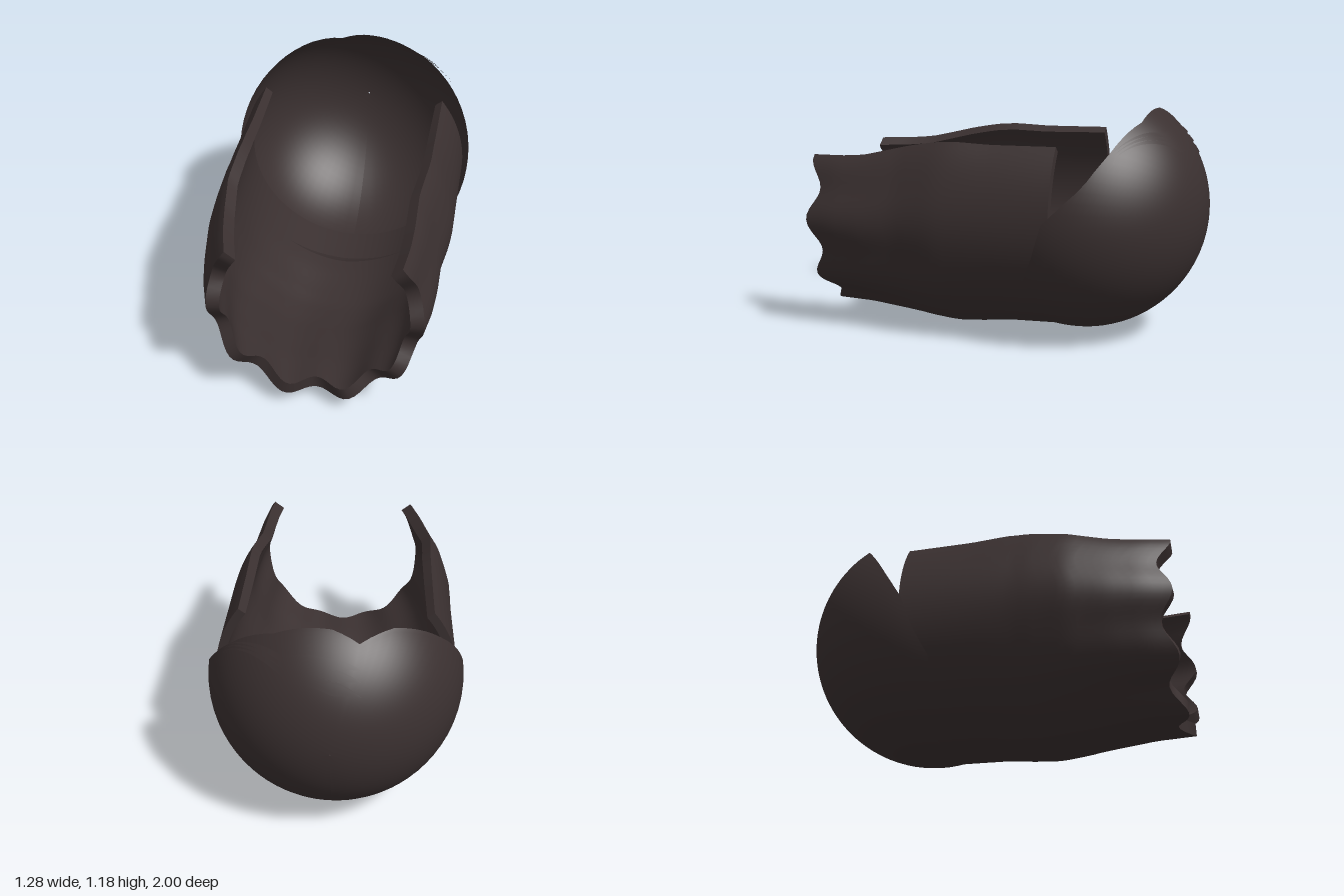
import * as THREE from 'three';

const rad = THREE.MathUtils.degToRad;

// Piecewise lookup through [key, value] pairs
function lookup(keys, t) {
  for (let i = 1; i < keys.length; i++) {
    const [a, va] = keys[i - 1], [b, vb] = keys[i];
    if (t <= b) return va + (vb - va) * Math.max(0, (t - a) / (b - a));
  }
  return keys[keys.length - 1][1];
}

// Smooth grid surface from f(u, v) -> [x, y, z]
function surface(nu, nv, f) {
  const pos = [], index = [];
  for (let j = 0; j <= nv; j++)
    for (let i = 0; i <= nu; i++) pos.push(...f(i / nu, j / nv));
  for (let j = 0; j < nv; j++)
    for (let i = 0; i < nu; i++) {
      const a = j * (nu + 1) + i, b = a + 1, c = a + nu + 1, d = c + 1;
      index.push(a, b, d, a, d, c);
    }
  const g = new THREE.BufferGeometry();
  g.setAttribute('position', new THREE.Float32BufferAttribute(pos, 3));
  g.setIndex(index);
  g.computeVertexNormals();
  return g;
}

export function createModel() {
  const group = new THREE.Group();
  const hair = new THREE.MeshStandardMaterial({ color: 0x3a3030, side: THREE.DoubleSide });
  hair.name = 'dark brown hair';
  const add = (name, geometry, parent = group) => {
    const m = new THREE.Mesh(geometry, hair);
    m.name = name;
    parent.add(m);
  };

  // Crown: sphere shell from the back pole to an uneven hairline
  const R = 0.64, CY = 0.67, CZ = -0.36;
  const hairline = [[-90, 122], [-45, 112], [-15, 99], [0, 94], [17, 77], [33, 68], [60, 57],
    [90, 53.6], [105, 49], [120, 61], [146, 74], [165, 85], [180, 94], [195, 99], [225, 112], [270, 122]];
  add('crown', surface(72, 28, (u, v) => {
    const p = -90 + 360 * u, phi = rad(p);
    const th = 0.006 + (rad(lookup(hairline, p)) - 0.006) * v;
    const r = R * Math.sin(th);
    return [-r * Math.cos(phi) * -1, CY + r * Math.sin(phi), CZ - R * Math.cos(th)];
  }).scale(1, 1, 1));

  // Long hair: thick open trough with a scalloped front end
  const centreX = [[-0.34, 0], [0.25, 0], [0.5, -0.02], [0.7, -0.005], [1, 0.02]];
  const bottomY = [[-0.34, 0.04], [0, 0.03], [0.15, 0.013], [0.3, 0.002], [0.45, 0.015], [0.6, 0.04], [0.8, 0.07], [1, 0.08]];
  const centreY = [[-0.34, 0.65], [0.2, 0.64], [0.4, 0.625], [0.7, 0.6], [1, 0.6]];
  const halfX = [[-0.34, 0.61], [0.3, 0.6], [0.5, 0.585], [0.7, 0.565], [0.85, 0.54], [1, 0.5]];
  const SPAN = 128;
  function trough(u, v, depth) {
    const a = rad(SPAN * (2 * u - 1));
    const wave = Math.cos(10 * a);
    const z = -0.34 + v * (1.305 - 0.035 * wave);
    const t = depth * (0.045 + 0.02 * v);
    const cy = lookup(centreY, z);
    const ripple = 0.012 * wave * v * v;
    const rx = lookup(halfX, z) - t - ripple;
    const ry = cy - lookup(bottomY, z) - t - ripple;
    return [lookup(centreX, z) + rx * Math.sin(a), cy - ry * Math.cos(a), z];
  }
  const length = new THREE.Group();
  length.name = 'longHair';
  group.add(length);
  const NA = 80, NZ = 30;
  add('outerHair', surface(NA, NZ, (u, v) => trough(1 - u, v, 0)), length);
  add('innerHair', surface(NA, NZ, (u, v) => trough(u, v, 1)), length);
  add('frontTips', surface(NA, 1, (u, v) => trough(1 - u, 1, v)), length);
  add('backRim', surface(NA, 1, (u, v) => trough(u, 0, v)), length);
  add('rightEdge', surface(1, NZ, (u, v) => trough(0, v, u)), length);
  add('leftEdge', surface(1, NZ, (u, v) => trough(1, v, 1 - u)), length);

  // Swept locks lying over the crown, pointed at both ends
  const sweep = [[-0.15, -0.895], [0, -0.89], [0.2, -0.85], [0.38, -0.72], [0.53, -0.61]];
  const locks = new THREE.Group();
  locks.name = 'sweptLocks';
  group.add(locks);
  for (let k = -1; k <= 1; k++) {
    add('lock', surface(4, 24, (u, v) => {
      const x0 = -0.14 + (0.66 - 0.03 * k) * v;
      const taper = Math.min(1, v / 0.18, (1 - v) / 0.3);
      const off = k * 0.032 + (u - 0.5) * 0.036 * taper;
      const x = x0 + off * 0.6 * v;
      const z = lookup(sweep, x0) + off * (1 - 0.3 * v);
      const r = R + 0.006 + 0.014 * Math.max(0, v - 0.6) / 0.4;
      const h = r * r - x * x - (z - CZ) ** 2;
      return [x, CY + Math.sqrt(Math.max(0, h)), z];
    }).rotateY(0), locks);
  }
  // Flip lock winding so the faces look outward
  locks.children.forEach((m) => {
    const ix = m.geometry.index.array;
    for (let i = 0; i < ix.length; i += 3) [ix[i], ix[i + 1]] = [ix[i + 1], ix[i]];
    m.geometry.computeVertexNormals();
  });
  return group;
}
